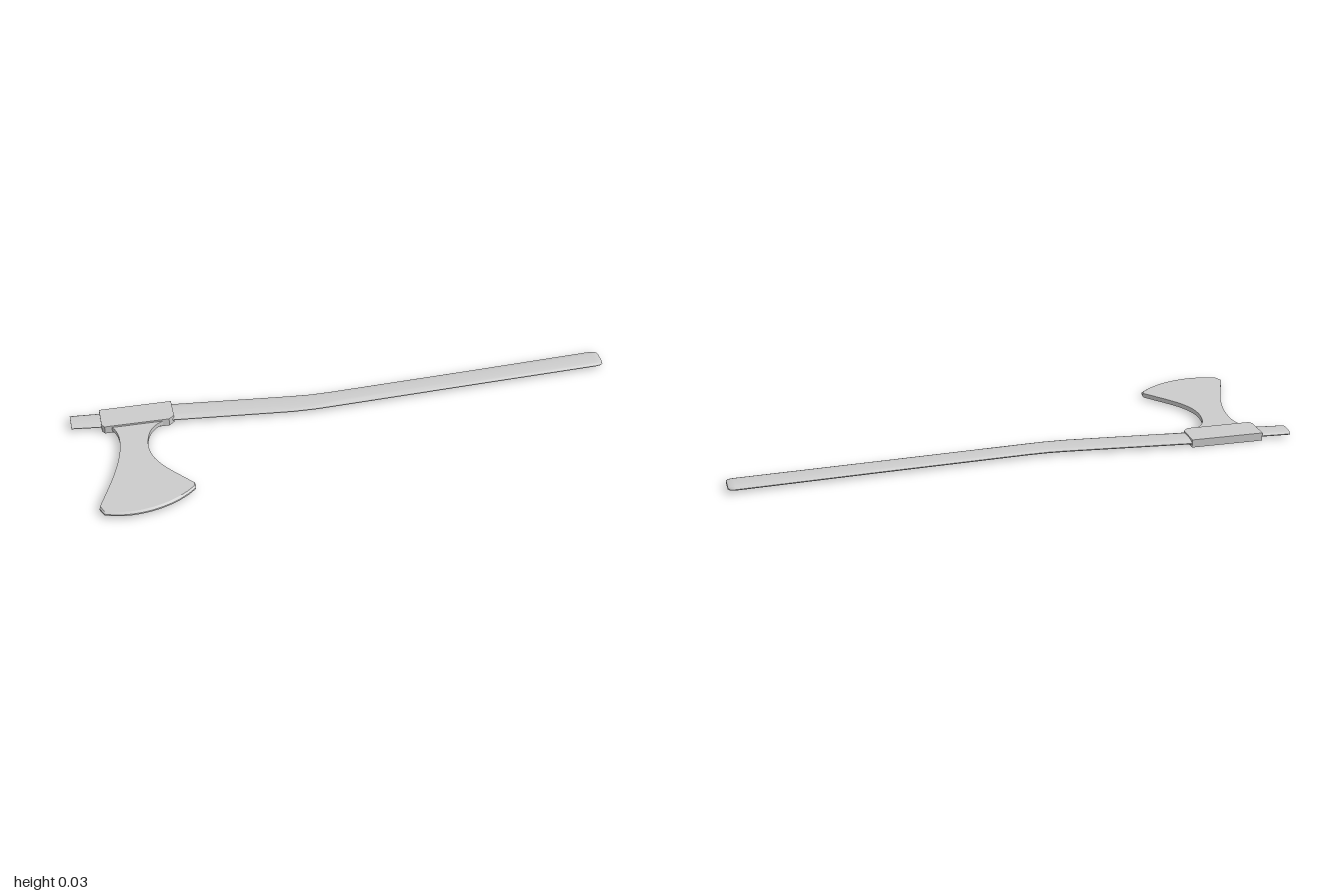
import * as THREE from 'three';
import { toCreasedNormals } from 'three/addons/utils/BufferGeometryUtils.js';

const MID = 0.016; // height of the plane the axe lies in
const material = new THREE.MeshStandardMaterial({ color: 0xcccccc });

function part(name, geometry, crease) {
  const mesh = new THREE.Mesh(toCreasedNormals(geometry, crease), material);
  mesh.name = name;
  return mesh;
}

// Flat plate drawn in the x-z plane, centred on MID
function plate(shape, thickness, steps) {
  const g = new THREE.ExtrudeGeometry(shape, { depth: thickness, steps, bevelEnabled: false, curveSegments: 10 });
  g.rotateX(Math.PI / 2);
  g.translate(0, MID + thickness / 2, 0);
  return g;
}

// Lofted tube along x; each station is [x, centre z, half width, half height]
function loft(stations, sides) {
  const pos = [], index = [];
  const round = (v) => Math.sign(v) * Math.abs(v) ** 0.85;
  for (const [x, z, w, h] of stations) {
    for (let j = 0; j < sides; j++) {
      const a = (j / sides) * Math.PI * 2;
      pos.push(x, MID + h * round(Math.cos(a)), z + w * round(Math.sin(a)));
    }
  }
  for (let i = 0; i < stations.length - 1; i++) {
    for (let j = 0; j < sides; j++) {
      const a = i * sides + j, b = i * sides + ((j + 1) % sides);
      index.push(a, b, a + sides, b, b + sides, a + sides);
    }
  }
  const g = new THREE.BufferGeometry();
  g.setAttribute('position', new THREE.Float32BufferAttribute(pos, 3));
  g.setIndex(index);
  g.computeVertexNormals();
  return g;
}

export function createModel() {
  const axe = new THREE.Group();
  axe.name = 'axe';

  // Bent wooden handle, closed at both ends
  axe.add(part('handle', loft([
    [-1, -0.267, 0.0005, 0.0005],
    [-1, -0.267, 0.037, 0.009],
    [-0.88, -0.256, 0.04, 0.009],
    [-0.64, -0.255, 0.047, 0.01],
    [-0.2, -0.213, 0.046, 0.01],
    [-0.12, -0.209, 0.044, 0.01],
    [-0.04, -0.211, 0.043, 0.01],
    [0.5, -0.235, 0.043, 0.01],
    [0.975, -0.257, 0.045, 0.01],
    [0.992, -0.257, 0.042, 0.009],
    [1, -0.257, 0.034, 0.006],
    [1, -0.257, 0.0005, 0.0005],
  ], 16), 0.9));

  // Socket wrapped round the handle
  const socket = new THREE.Shape([
    [-0.893, -0.304], [-0.63, -0.304], [-0.63, -0.215], [-0.65, -0.197],
    [-0.883, -0.197], [-0.893, -0.21],
  ].map(([x, z]) => new THREE.Vector2(x, z)));
  axe.add(part('socket', plate(socket, 0.029, 1), 0.5));

  // Bearded blade with a narrow neck
  const blade = new THREE.Shape();
  blade.moveTo(-0.87, -0.21);
  blade.quadraticCurveTo(-0.84, -0.19, -0.838, -0.12);
  blade.bezierCurveTo(-0.84, -0.01, -0.88, 0.09, -0.943, 0.24);
  blade.lineTo(-0.93, 0.27);
  blade.bezierCurveTo(-0.84, 0.31, -0.7, 0.285, -0.612, 0.195);
  blade.lineTo(-0.61, 0.178);
  blade.bezierCurveTo(-0.69, 0.08, -0.74, 0.03, -0.742, -0.06);
  blade.bezierCurveTo(-0.738, -0.15, -0.71, -0.19, -0.64, -0.21);
  const bladeGeo = plate(blade, 0.016, 3);

  // Push the middle layers outward along the cutting edge to bevel it
  const p = bladeGeo.attributes.position;
  for (let i = 0; i < p.count; i++) {
    if (p.getZ(i) > 0.17 && Math.abs(p.getY(i) - MID) < 0.005) {
      const out = new THREE.Vector2(p.getX(i) + 0.8, p.getZ(i)).setLength(0.009);
      p.setX(i, p.getX(i) + out.x * 0.5);
      p.setZ(i, p.getZ(i) + out.y);
    }
  }
  bladeGeo.computeVertexNormals();
  axe.add(part('blade', bladeGeo, 0.5));

  return axe;
}
